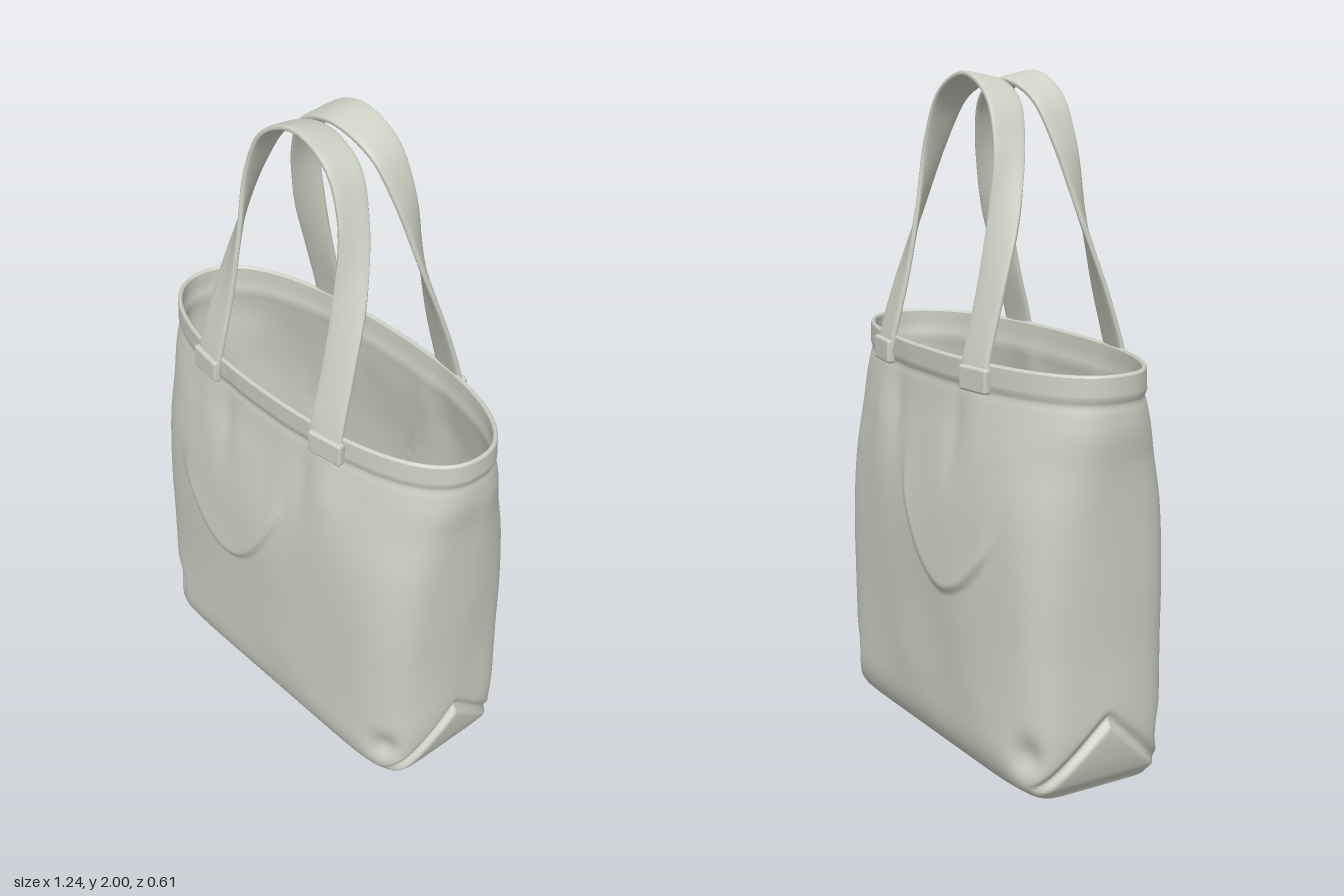
import * as THREE from 'three';
import { RoundedBoxGeometry } from 'three/addons/geometries/RoundedBoxGeometry.js';

const canvas = new THREE.MeshStandardMaterial({ color: 0xcdd0c3, side: THREE.DoubleSide });
canvas.name = 'canvas';

const smooth = THREE.MathUtils.smoothstep;
const gauss = (d, w) => Math.exp(-(d * d) / (w * w));

// Joins closed rings into a surface: point(row, angle) gives a Vector3
function loft(rows, segments, point) {
  const pos = [], index = [];
  for (let j = 0; j <= rows; j++) {
    for (let i = 0; i < segments; i++) pos.push(...point(j, (i / segments) * Math.PI * 2).toArray());
  }
  for (let j = 0; j < rows; j++) {
    for (let i = 0; i < segments; i++) {
      const k = (i + 1) % segments;
      const a = j * segments + i, b = a + segments, c = j * segments + k, d = c + segments;
      index.push(a, b, c, b, d, c);
    }
  }
  const g = new THREE.BufferGeometry();
  g.setAttribute('position', new THREE.Float32BufferAttribute(pos, 3));
  g.setIndex(index);
  g.computeVertexNormals();
  return g;
}

// Unit superellipse point at an angle
function squircle(angle, n) {
  const c = Math.cos(angle), s = Math.sin(angle);
  const r = Math.pow(Math.abs(c) ** n + Math.abs(s) ** n, -1 / n);
  return [c * r, s * r];
}

// Body sections: height, half width, half depth, squareness
const sections = [
  [0, 0.54, 0.205, 9], [0.025, 0.55, 0.237, 8], [0.09, 0.572, 0.265, 6], [0.19, 0.587, 0.275, 4.5],
  [0.4, 0.586, 0.279, 4.2], [0.6, 0.591, 0.281, 4], [0.8, 0.597, 0.276, 3.6], [0.95, 0.605, 0.264, 3],
  [1.05, 0.617, 0.25, 2.7], [1.14, 0.616, 0.242, 2.4], [1.21, 0.616, 0.244, 2.3],
];

function sectionAt(y) {
  let k = 0;
  while (k < sections.length - 2 && y > sections[k + 1][0]) k++;
  const f = THREE.MathUtils.clamp((y - sections[k][0]) / (sections[k + 1][0] - sections[k][0]), 0, 1);
  const p0 = sections[Math.max(k - 1, 0)], p1 = sections[k];
  const p2 = sections[k + 1], p3 = sections[Math.min(k + 2, sections.length - 1)];
  // Cubic blend with slopes scaled to the uneven spacing
  const h = p2[0] - p1[0];
  return [1, 2, 3].map((c) => {
    const m1 = ((p2[c] - p0[c]) / (p2[0] - p0[0])) * h;
    const m2 = ((p3[c] - p1[c]) / (p3[0] - p1[0])) * h;
    const f2 = f * f, f3 = f2 * f;
    return (2 * f3 - 3 * f2 + 1) * p1[c] + (f3 - 2 * f2 + f) * m1 + (3 * f2 - 2 * f3) * p2[c] + (f3 - f2) * m2;
  });
}

// Curved fold pressed into the front and back panels
function foldDepth(x, y) {
  const dx = x + 0.15;
  const d = y - (0.53 + (dx < 0 ? 3.2 : 4.7) * dx * dx);
  const ends = smooth(x, -0.42, -0.33) * (1 - smooth(x, 0.06, 0.12));
  return 0.015 * ends * smooth(d, -0.012, 0.018) * Math.exp(-Math.max(d, 0) / 0.13);
}

// Cloth surface with its hem, folds, gusset creases and soft wrinkles
function cloth(y, angle, inset = 0) {
  const [hx, hz, n] = sectionAt(y);
  const [u, v] = squircle(angle, n);
  const hem = 0.006 * smooth(y, 1.135, 1.148) - 0.003 * gauss(y - 1.132, 0.012);
  let x = u * (hx - inset + hem), z = v * (hz - inset + hem);
  const face = smooth(Math.abs(v), 0.6, 0.95), end = smooth(Math.abs(u), 0.85, 0.99);
  const body = smooth(y, 0.06, 0.3) * (1 - smooth(y, 0.95, 1.12));
  // Front and back panels
  let dz = foldDepth(x, y) + 0.014 * gauss(x, 0.12) * gauss(y - 0.72, 0.2);
  dz += body * 0.003 * (Math.sin(9 * x + 5 * y) + Math.sin(17 * x - 4 * y + 1));
  dz -= 0.008 * gauss(Math.abs(x) - 0.17, 0.035) * gauss(y - 1.0, 0.13);
  dz += 0.006 * gauss(Math.abs(x) - 0.27, 0.05) * gauss(y - 1.02, 0.12);
  z += Math.sign(v) * face * dz;
  // Triangular folds at the foot of both ends
  const tri = y - 0.215 * (1 - Math.abs(z) / 0.23);
  const low = smooth(y, 0.005, 0.04) * (1 - smooth(y, 0.22, 0.26));
  const dx = low * (0.01 * (1 - smooth(tri, -0.012, 0.008)) - 0.012 * gauss(tri - 0.012, 0.018));
  x += Math.sign(u) * end * (dx + body * 0.003 * Math.sin(24 * z + 3 * y));
  // Pinched lower corners
  const pinch = 0.028 * gauss(Math.abs(x) - 0.515, 0.04) * gauss(y - 0.125, 0.055) * smooth(Math.abs(v), 0.4, 0.8);
  x -= Math.sign(u) * pinch * 0.4;
  z -= Math.sign(v) * pinch;
  return new THREE.Vector3(x, y, z);
}

// Handle edges from the seam up to the crown: inner edge and outer edge
const innerEdge = [
  [0.208, 1.14, 0.254], [0.202, 1.22, 0.24], [0.2, 1.4, 0.195], [0.2, 1.6, 0.16],
  [0.192, 1.8, 0.137], [0.13, 1.935, 0.128], [0, 1.991, 0.124],
];
const outerEdge = [
  [0.32, 1.14, 0.238], [0.314, 1.22, 0.224], [0.3, 1.4, 0.17], [0.27, 1.6, 0.1],
  [0.212, 1.8, 0.047], [0.14, 1.92, 0.02], [0, 1.968, 0.01],
];

function archCurve(half) {
  const mirrored = half.slice(0, -1).map(([x, y, z]) => [-x, y, z]);
  return new THREE.CatmullRomCurve3([...mirrored, ...half.slice().reverse()].map((p) => new THREE.Vector3(...p)));
}

function handleGeometry() {
  const inner = archCurve(innerEdge), outer = archCurve(outerEdge);
  const rows = 96;
  const mid = (t) => inner.getPoint(t).add(outer.getPoint(t)).multiplyScalar(0.5);
  return loft(rows, 28, (j, angle) => {
    const t = j / rows;
    const w = outer.getPoint(t).sub(inner.getPoint(t)).multiplyScalar(0.5);
    const along = mid(Math.min(t + 0.004, 1)).sub(mid(Math.max(t - 0.004, 0)));
    const normal = w.clone().cross(along).normalize();
    const [u, v] = squircle(angle, 5);
    return mid(t).addScaledVector(w, u).addScaledVector(normal, v * 0.009);
  });
}

export function createModel() {
  const bag = new THREE.Group();
  bag.name = 'toteBag';
  const add = (parent, name, geometry) => {
    const mesh = new THREE.Mesh(geometry, canvas);
    mesh.name = name;
    parent.add(mesh);
    return mesh;
  };

  // Outer cloth, base, rim, lining and floor
  const wall = 0.014, top = 1.21, floorY = 0.012;
  add(bag, 'outerCloth', loft(120, 320, (j, a) => cloth((top * j) / 120, a)));
  add(bag, 'base', loft(1, 160, (j, a) => cloth(0, a).multiplyScalar(j)));
  add(bag, 'rim', loft(6, 160, (j, a) => {
    const f = j / 6;
    const p = cloth(top, a, wall * f);
    p.y += 0.007 * Math.sin(Math.PI * f);
    return p;
  }));
  add(bag, 'lining', loft(70, 160, (j, a) => cloth(top + ((floorY - top) * j) / 70, a, wall)));
  add(bag, 'floor', loft(1, 160, (j, a) => {
    const p = cloth(floorY, a, wall);
    return j ? new THREE.Vector3(0, floorY, 0) : p;
  }));

  // Matching handles with their stitched end patches
  const strap = handleGeometry();
  const patch = new RoundedBoxGeometry(0.12, 0.072, 0.026, 3, 0.009);
  for (const side of ['front', 'back']) {
    const handle = new THREE.Group();
    handle.name = side + 'Handle';
    if (side === 'back') handle.rotation.y = Math.PI;
    add(handle, side + 'Strap', strap);
    for (const s of [-1, 1]) {
      const m = add(handle, side + 'StrapPatch', patch);
      m.position.set(s * 0.266, 1.167, 0.243);
      m.rotation.y = s * 0.14;
    }
    bag.add(handle);
  }
  return bag;
}
